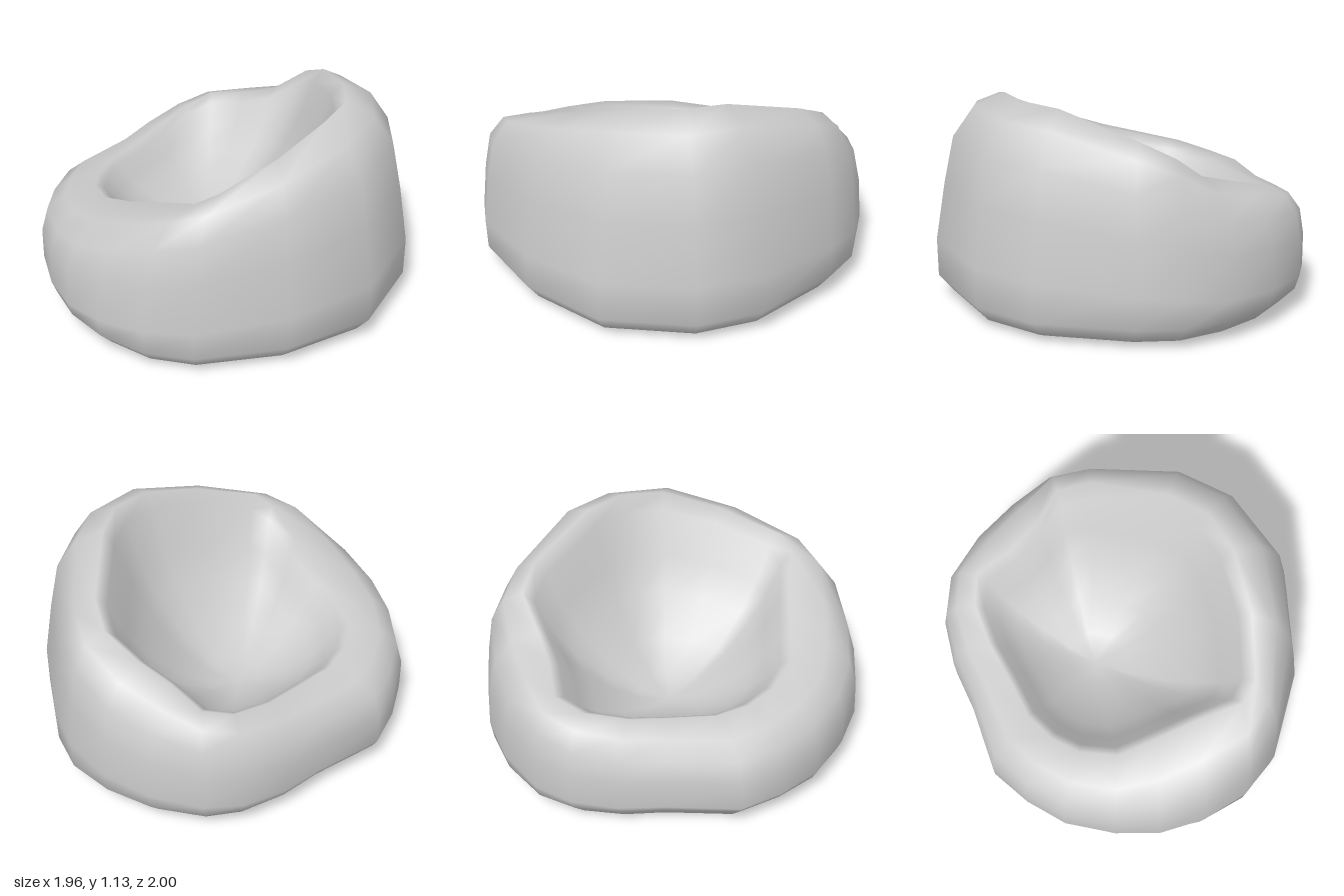
import * as THREE from 'three';

// Columns around the bag: widest outline x, z, then rim x, z and rim height
const COLUMNS = [
  [0.98, 0.18, 0.62, 0.15, 1.13], [0.88, 0.52, 0.55, 0.37, 1.135],
  [0.54, 0.88, 0.38, 0.53, 1.125], [0.06, 1.00, 0.09, 0.68, 1.04],
  [-0.42, 0.96, -0.23, 0.76, 0.94], [-0.65, 0.84, -0.34, 0.72, 0.88],
  [-0.83, 0.64, -0.45, 0.50, 0.78], [-0.94, 0.42, -0.57, 0.30, 0.69],
  [-0.985, 0.18, -0.67, 0.13, 0.635], [-0.98, -0.10, -0.68, -0.07, 0.60],
  [-0.90, -0.33, -0.63, -0.23, 0.575], [-0.78, -0.54, -0.53, -0.38, 0.565],
  [-0.44, -0.74, -0.34, -0.53, 0.57], [-0.25, -0.88, -0.18, -0.67, 0.59],
  [-0.03, -0.98, 0.01, -0.79, 0.63], [0.18, -1.00, 0.17, -0.81, 0.68],
  [0.45, -0.91, 0.32, -0.65, 0.74], [0.67, -0.76, 0.47, -0.54, 0.80],
  [0.84, -0.56, 0.63, -0.45, 0.93], [0.92, -0.33, 0.67, -0.28, 1.01],
];
// Rounded foot: height, scale of the outline below the low lip and the high back
const FOOT = [[0, 0.8, 0.84], [0.04, 0.89, 0.925], [0.13, 0.975, 0.995]];
// Outer wall: share of rim height, blend from outline to rim at the lip and the back
const WALL = [[0.3, 0, 0.01], [0.58, 0, 0.15], [0.8, 0.12, 0.29], [0.94, 0.45, 0.58], [1, 1, 1]];
// Seat hollow: distance from its centre, share of the rise to the rim
const HOLLOW = [[0.92, 0.91], [0.8, 0.64], [0.66, 0.42], [0.45, 0.19], [0.22, 0.04]];
const SEAT = { x: -0.07, y: 0.28, z: -0.11 };

const { lerp, smoothstep } = THREE.MathUtils;

// One cross-section from the open foot, over the rim, into the seat
function section([x, z, rimX, rimZ, h]) {
  const back = smoothstep(h, 0.55, 1.1);
  const foot = FOOT.map(([y, low, high]) => {
    const s = lerp(low, high, back);
    return [x * s, y, z * s];
  });
  const wall = WALL.map(([k, low, high]) => {
    const t = lerp(low, high, back);
    return [lerp(x, rimX, t), h * k, lerp(z, rimZ, t)];
  });
  const hollow = HOLLOW.map(([r, g]) => (
    [lerp(SEAT.x, rimX, r), lerp(SEAT.y, h, g), lerp(SEAT.z, rimZ, r)]
  ));
  return [...foot, ...wall, ...hollow];
}

function bagGeometry() {
  const sections = COLUMNS.map(section);
  const n = sections.length;
  const rows = sections[0].length;
  const positions = sections.flat(2);
  positions.push(SEAT.x, SEAT.y, SEAT.z);
  const centre = n * rows;
  const index = [];
  for (let j = 0; j < n; j++) {
    const a = j * rows;
    const b = ((j + 1) % n) * rows;
    for (let i = 0; i < rows - 1; i++) {
      index.push(a + i, a + i + 1, b + i, b + i, a + i + 1, b + i + 1);
    }
    // Close the middle of the seat
    index.push(a + rows - 1, centre, b + rows - 1);
  }
  const geometry = new THREE.BufferGeometry();
  geometry.setAttribute('position', new THREE.Float32BufferAttribute(positions, 3));
  geometry.setIndex(index);
  geometry.computeVertexNormals();
  return geometry;
}

export function createModel() {
  const group = new THREE.Group();
  group.name = 'beanbagChair';
  // Soft shell, open underneath
  const shell = new THREE.Mesh(
    bagGeometry(),
    new THREE.MeshStandardMaterial({ color: 0xcccccc, side: THREE.DoubleSide }),
  );
  shell.name = 'beanbagShell';
  group.add(shell);
  return group;
}
